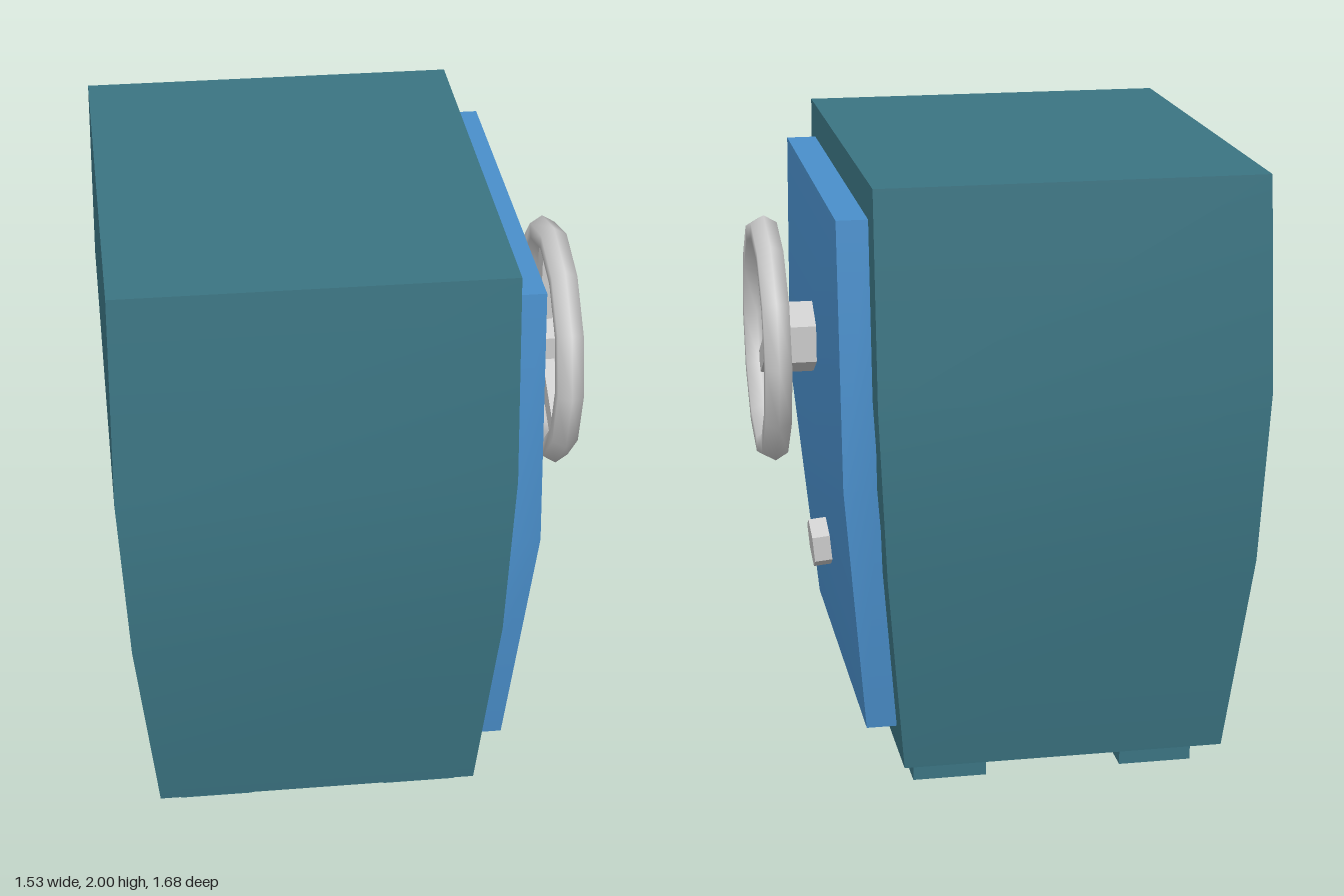
import * as THREE from 'three';

const bodyMat = new THREE.MeshStandardMaterial({ color: 0x3b7482 });
const doorMat = new THREE.MeshStandardMaterial({ color: 0x4a8fcb });
const greyMat = new THREE.MeshStandardMaterial({ color: 0xcccccc });
const greyFlat = new THREE.MeshStandardMaterial({ color: 0xcccccc, flatShading: true });

function add(parent, name, geometry, material, x = 0, y = 0, z = 0) {
  const mesh = new THREE.Mesh(geometry, material);
  mesh.name = name;
  mesh.position.set(x, y, z);
  parent.add(mesh);
  return mesh;
}

// Box whose horizontal sections follow rings of [y, xMin, xMax, halfDepth]
function bulgedBox(rings) {
  const n = rings.length - 1;
  const geo = new THREE.BoxGeometry(1, 1, 1, 1, n, 1);
  const p = geo.attributes.position;
  for (let i = 0; i < p.count; i++) {
    const [y, x0, x1, d] = rings[Math.round((p.getY(i) + 0.5) * n)];
    p.setXYZ(i, p.getX(i) < 0 ? x0 : x1, y, Math.sign(p.getZ(i)) * d);
  }
  geo.computeVertexNormals();
  return geo;
}

// Hexagonal prism along x, starting at x = 0, with a corner pointing up
function hexPrism(radius, length) {
  return new THREE.CylinderGeometry(radius, radius, length, 6, 1, false, Math.PI / 2)
    .rotateZ(-Math.PI / 2).translate(length / 2, 0, 0);
}

export function createModel() {
  const safe = new THREE.Group();
  safe.name = 'safe';

  // Bulging cabinet
  add(safe, 'cabinet', bulgedBox([
    [0.1, -0.665, 0.38, 0.73],
    [0.77, -0.737, 0.441, 0.825],
    [1.33, -0.768, 0.467, 0.84],
    [2, -0.762, 0.466, 0.775],
  ]), bodyMat);

  // Door slab, bent to follow the cabinet
  add(safe, 'door', bulgedBox([
    [0.205, 0.385, 0.487, 0.63],
    [1.05, 0.46, 0.565, 0.75],
    [1.885, 0.46, 0.565, 0.67],
  ]), doorMat);

  // Four feet
  for (const x of [-0.474, 0.214])
    for (const z of [-0.533, 0.533])
      add(safe, 'foot', new THREE.BoxGeometry(0.24, 0.1, 0.156), bodyMat, x, 0.05, z);

  // Hand wheel: rim, hub and three spokes
  const wheel = new THREE.Group();
  wheel.name = 'handWheel';
  wheel.position.set(0.718, 1.347, 0);
  safe.add(wheel);
  add(wheel, 'rim', new THREE.TorusGeometry(0.365, 0.049, 6, 12).rotateY(Math.PI / 2), greyMat);
  add(wheel, 'hub', hexPrism(0.12, 0.16), greyFlat, -0.156);
  for (let i = 0; i < 3; i++) {
    const spoke = new THREE.BoxGeometry(0.04, 0.27, 0.075).translate(0, 0.215, 0);
    add(wheel, 'spoke', spoke, greyFlat, -0.02).rotation.x = i * Math.PI * 2 / 3;
  }

  // Knob, square to the sloping lower half of the door
  add(safe, 'knob', hexPrism(0.085, 0.075), greyFlat, 0.51, 0.627, 0).rotation.z = -0.092;

  return safe;
}
